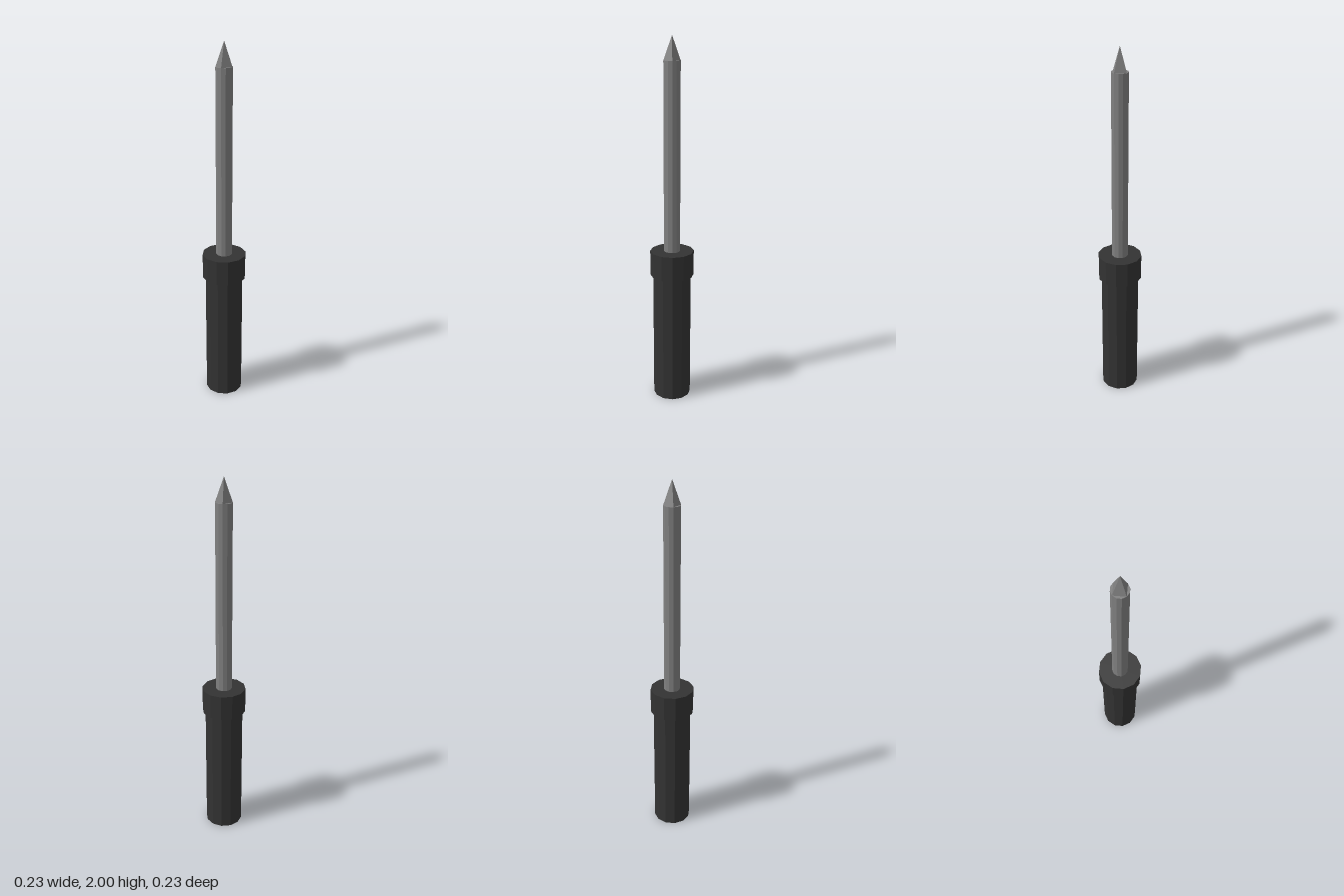
import * as THREE from 'three';

export function createModel() {
  const model = new THREE.Group();
  model.name = 'spikeTool';

  const darkGrip = new THREE.MeshStandardMaterial({ color: 0x333333, flatShading: true });
  darkGrip.name = 'dark grip';
  const greySteel = new THREE.MeshStandardMaterial({ color: 0x808080, flatShading: true });
  greySteel.name = 'grey steel';

  // Upright prism or cone between two heights, turned half a side so a flat faces front
  function addPart(name, topRadius, bottomRadius, y0, y1, sides, material) {
    const geometry = new THREE.CylinderGeometry(topRadius, bottomRadius, y1 - y0, sides);
    geometry.rotateY(Math.PI / sides);
    const mesh = new THREE.Mesh(geometry, material);
    mesh.name = name;
    mesh.position.y = (y0 + y1) / 2;
    model.add(mesh);
  }

  addPart('handle', 0.1035, 0.1035, 0, 0.726, 12, darkGrip);
  addPart('collar', 0.119, 0.119, 0.726, 0.864, 12, darkGrip);
  addPart('shaft', 0.044, 0.044, 0.864, 1.876, 12, greySteel);
  addPart('tip', 0, 0.044, 1.876, 2, 4, greySteel);

  return model;
}
